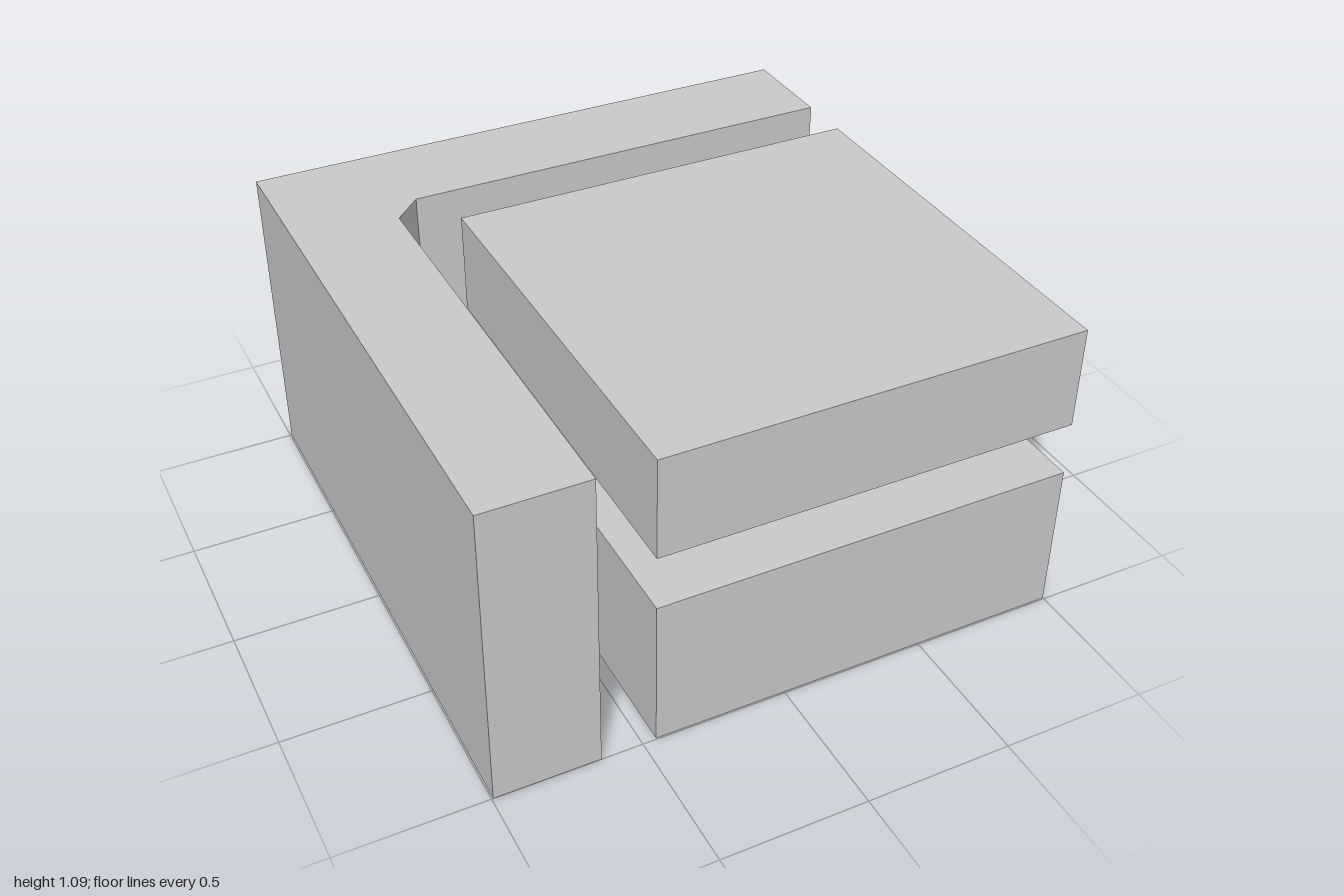
import * as THREE from 'three';

const HEIGHT = 1.085;
const X = 0.995; // half width
const Z = 1; // half depth

export function createModel() {
  const group = new THREE.Group();
  const material = new THREE.MeshStandardMaterial({ color: 0xcccccc, flatShading: true });

  const add = (name, geometry) => {
    const mesh = new THREE.Mesh(geometry, material);
    mesh.name = name;
    group.add(mesh);
  };

  // L-shaped corner wall with a chamfered inner corner, drawn as (x, -z) and extruded upwards
  const plan = new THREE.Shape([
    [-X, -Z], [-0.64, -Z], [-0.64, 0.55], [-0.545, 0.645],
    [X, 0.645], [X, Z], [-X, Z],
  ].map(([x, y]) => new THREE.Vector2(x, y)));
  const wall = new THREE.ExtrudeGeometry(plan, { depth: HEIGHT, bevelEnabled: false });
  wall.rotateX(-Math.PI / 2);
  add('cornerWall', wall);

  // Two square slabs stacked with a gap, set off from the wall
  const x0 = -0.455, z0 = -0.46;
  const addSlab = (name, y0, y1) => {
    const slab = new THREE.BoxGeometry(X - x0, y1 - y0, Z - z0);
    slab.translate((X + x0) / 2, (y0 + y1) / 2, (Z + z0) / 2);
    add(name, slab);
  };
  addSlab('lowerSlab', 0.005, 0.54);
  addSlab('upperSlab', 0.73, HEIGHT);

  return group;
}
